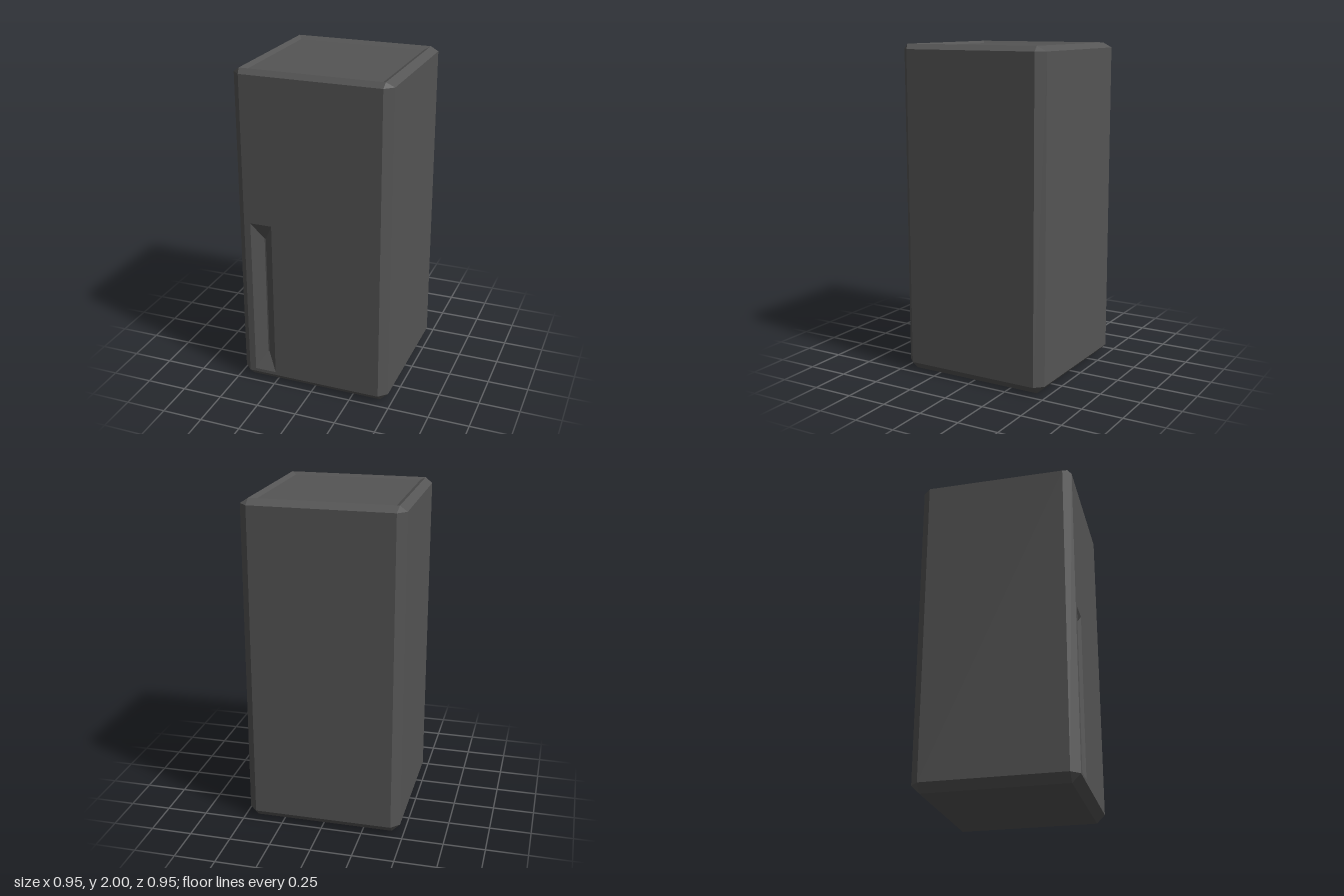
import * as THREE from 'three';

const material = new THREE.MeshStandardMaterial({ color: 0x555555, flatShading: true });

// Skin consecutive closed loops with flat faces; skip(band, side) leaves a gap
function skinLoops(loops, skip = () => false) {
  const positions = [];
  const triangle = (a, b, c) => {
    if (new THREE.Triangle(a, b, c).getArea() > 1e-7) {
      for (const p of [a, b, c]) positions.push(p.x, p.y, p.z);
    }
  };
  for (let k = 0; k < loops.length - 1; k++) {
    const low = loops[k], high = loops[k + 1], n = low.length;
    for (let i = 0; i < n; i++) {
      if (skip(k, i)) continue;
      const j = (i + 1) % n;
      triangle(low[i], low[j], high[j]);
      triangle(low[i], high[j], high[i]);
    }
  }
  const geometry = new THREE.BufferGeometry();
  geometry.setAttribute('position', new THREE.Float32BufferAttribute(positions, 3));
  geometry.computeVertexNormals();
  return geometry;
}

// Rectangle with cut corners at height y, starting at the front left corner
function ring(y, x, front, back, cut = 0) {
  return [
    [x - cut, front], [x, front - cut], [x, back + cut], [x - cut, back],
    [cut - x, back], [-x, back + cut], [-x, front - cut], [cut - x, front],
  ].map(([px, pz]) => new THREE.Vector3(px, y, pz));
}

// Upright rectangle facing +z
function panel(x0, x1, y0, y1, z) {
  return [[x0, y0], [x1, y0], [x1, y1], [x0, y1]].map(([x, y]) => new THREE.Vector3(x, y, z));
}

export function createModel() {
  const group = new THREE.Group();
  group.name = 'cabinet';
  const add = (name, geometry) => {
    const mesh = new THREE.Mesh(geometry, material);
    mesh.name = name;
    group.add(mesh);
  };

  const half = 0.475, cut = 0.05, yLow = 0.05, yHigh = 1.97;

  // Chamfered body with a shallow recess in the top, open at the front wall
  add('body', skinLoops([
    ring(0, 0, 0, 0),
    ring(0, 0.425, 0.425, -0.425),
    ring(yLow, half, half, -half, cut),
    ring(yHigh, half, half, -half, cut),
    ring(2, 0.43, 0.45, -0.415),
    ring(1.985, 0.4, 0.43, -0.37),
    ring(1.985, 0, 0, 0),
  ], (band, side) => band === 2 && side === 7));

  // Front wall with an opening for the grip
  const outer = panel(-0.385, -0.25, 0.07, 1.07, half);
  const wall = new THREE.Shape(panel(cut - half, half - cut, yLow, yHigh, 0));
  wall.holes.push(new THREE.Path(outer.map((p) => new THREE.Vector2(p.x, p.y)).reverse()));
  add('frontWall', new THREE.ShapeGeometry(wall).translate(0, 0, half));

  // Tapered grip groove sunk into the front
  const floorZ = half - 0.05;
  add('gripGroove', skinLoops([
    outer,
    panel(-0.319, -0.311, 0.18, 0.96, floorZ),
    panel(-0.315, -0.315, 0.57, 0.57, floorZ),
  ]));

  return group;
}
